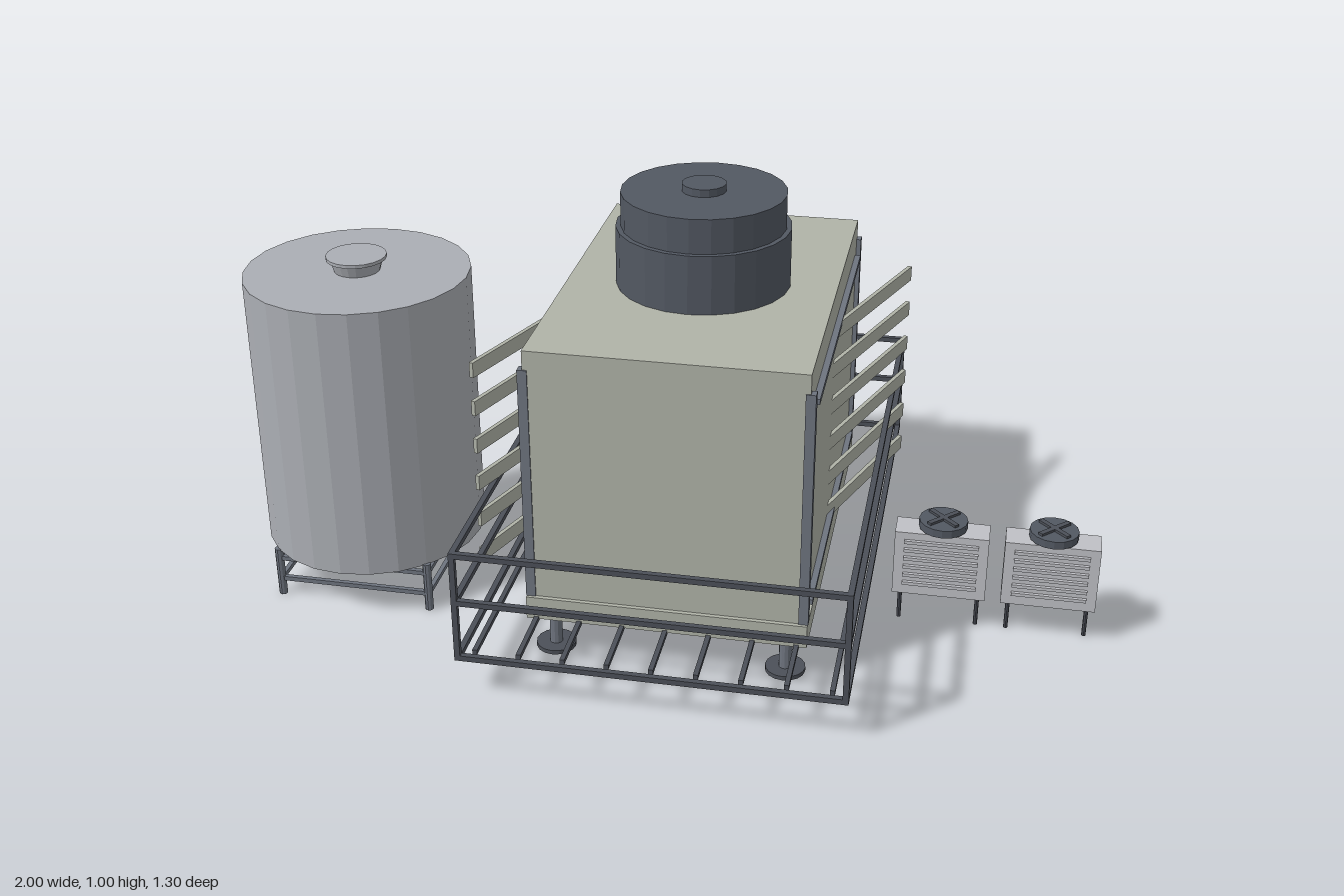
import * as THREE from 'three';

const mat = (color, flatShading = true) => new THREE.MeshStandardMaterial({ color, flatShading });
const M = {
  casing: mat(0xb0b3a8), fan: mat(0x525862), rail: mat(0x4c5058),
  steel: mat(0x6e747f), tank: mat(0xabaeb4), unit: mat(0xbfc0c5),
};

export function createModel() {
  const model = new THREE.Group();
  const group = (name, x = 0, y = 0, z = 0, parent = model) => {
    const g = new THREE.Group();
    g.name = name;
    g.position.set(x, y, z);
    parent.add(g);
    return g;
  };
  const add = (parent, name, geo, material, x, y, z) => {
    const m = new THREE.Mesh(geo, material);
    m.name = name;
    m.position.set(x, y, z);
    parent.add(m);
    return m;
  };
  const box = (p, name, m, w, h, d, x, y, z) => add(p, name, new THREE.BoxGeometry(w, h, d), m, x, y, z);
  // Upright cylinder given by its bottom and top heights
  const cyl = (p, name, m, r, y0, y1, x = 0, z = 0, sides = 24, rTop = r) =>
    add(p, name, new THREE.CylinderGeometry(rTop, r, y1 - y0, sides), m, x, (y0 + y1) / 2, z);

  // Cooling tower body
  const tower = group('coolingTower', 0.05);
  box(tower, 'casing', M.casing, 0.62, 0.61, 0.91, 0, 0.46, 0);
  box(tower, 'basin', M.casing, 0.64, 0.055, 0.93, 0, 0.1275, 0);
  for (const sx of [-1, 1]) {
    for (const sz of [-1, 1]) {
      box(tower, 'cornerPost', M.steel, 0.022, 0.565, 0.022, sx * 0.31, 0.4375, sz * 0.447);
      cyl(tower, 'leg', M.steel, 0.015, 0.01, 0.1, sx * 0.267, sz * 0.41, 12);
      cyl(tower, 'footPlate', M.rail, 0.046, 0, 0.01, sx * 0.267, sz * 0.41, 16);
    }
    for (const y of [0.185, 0.682]) box(tower, 'sideRail', M.steel, 0.014, 0.013, 0.82, sx * 0.317, y, 0);
    // Angled louvre blades, half of each sunk into the casing
    for (let i = 0; i < 6; i++) {
      const blade = box(tower, 'louvre', M.casing, 0.01, 0.036, 0.79, sx * 0.315, 0.196 + i * 0.0942, 0);
      blade.rotation.y = -0.35;
    }
  }

  // Roof fan
  const fan = group('roofFan', 0.05);
  cyl(fan, 'fanShroud', M.fan, 0.202, 0.765, 0.904);
  cyl(fan, 'fanCrown', M.fan, 0.19, 0.904, 0.985);
  cyl(fan, 'fanHub', M.fan, 0.051, 0.985, 1.003, 0, 0, 16);

  // Walkway: floor bars and guard rail
  const walkway = group('walkway', 0.05);
  const t = 0.013, hx = 0.427, hz = 0.643;
  for (const y of [0.1, 0.242, 0.36]) {
    for (const s of [-1, 1]) {
      box(walkway, 'endRail', M.rail, hx * 2 + t, t, t, 0, y, s * hz);
      box(walkway, 'longRail', M.rail, t, t, hz * 2 + t, s * hx, y, 0);
    }
  }
  for (const sx of [-1, 1])
    for (const sz of [-1, 1]) box(walkway, 'railPost', M.rail, t, 0.273, t, sx * hx, 0.23, sz * hz);
  for (let i = -4; i <= 4; i++) box(walkway, 'floorBar', M.rail, 0.011, 0.011, 1.24, i * 0.099, 0.1, 0);

  // Ladder on the back
  const ladder = group('ladder', 0.05, 0, -0.507);
  for (const s of [-1, 1]) box(ladder, 'stile', M.rail, 0.011, 0.665, 0.011, s * 0.053, 0.4325, 0);
  for (let i = 0; i < 8; i++) box(ladder, 'rung', M.rail, 0.12, 0.01, 0.01, 0, 0.165 + i * 0.075, 0);

  // Storage tank on its stand
  const tank = group('tank', -0.738, 0, 0.141);
  cyl(tank, 'tankShell', M.tank, 0.262, 0.122, 0.787);
  cyl(tank, 'tankNeck', M.tank, 0.053, 0.787, 0.816, 0, 0, 20, 0.062);
  cyl(tank, 'tankLid', M.tank, 0.07, 0.816, 0.824, 0, 0, 20);
  const q = 0.185;
  for (const sx of [-1, 1]) {
    for (const sz of [-1, 1]) cyl(tank, 'standLeg', M.steel, 0.01, 0, 0.125, sx * q, sz * q, 10);
    for (const y of [0.044, 0.1]) {
      box(tank, 'standBar', M.steel, q * 2, 0.011, 0.011, 0, y, sx * q);
      box(tank, 'standBar', M.steel, 0.011, 0.011, q * 2, sx * q, y, 0);
    }
  }

  // Two small condenser units
  for (const x of [0.641, 0.892]) {
    const unit = group('condenserUnit', x, 0, 0.143);
    box(unit, 'cabinet', M.unit, 0.215, 0.163, 0.07, 0, 0.1685, 0);
    for (const s of [-1, 1]) {
      cyl(unit, 'unitLeg', M.rail, 0.005, 0, 0.09, s * 0.09, 0, 8);
      box(unit, 'backHandle', M.steel, 0.034, 0.008, 0.008, s * 0.05, 0.2, -0.037);
    }
    for (let i = 0; i < 6; i++) box(unit, 'grilleSlat', M.unit, 0.17, 0.008, 0.01, 0, 0.118 + i * 0.022, 0.038);
    cyl(unit, 'fanCollar', M.rail, 0.045, 0.25, 0.258, 0, 0, 16);
    cyl(unit, 'fanRing', M.fan, 0.056, 0.256, 0.275, 0, 0, 16);
    for (const a of [0, Math.PI / 2])
      box(unit, 'fanBlade', M.rail, 0.09, 0.006, 0.012, 0, 0.278, 0).rotation.y = a + Math.PI / 4;
  }
  return model;
}
